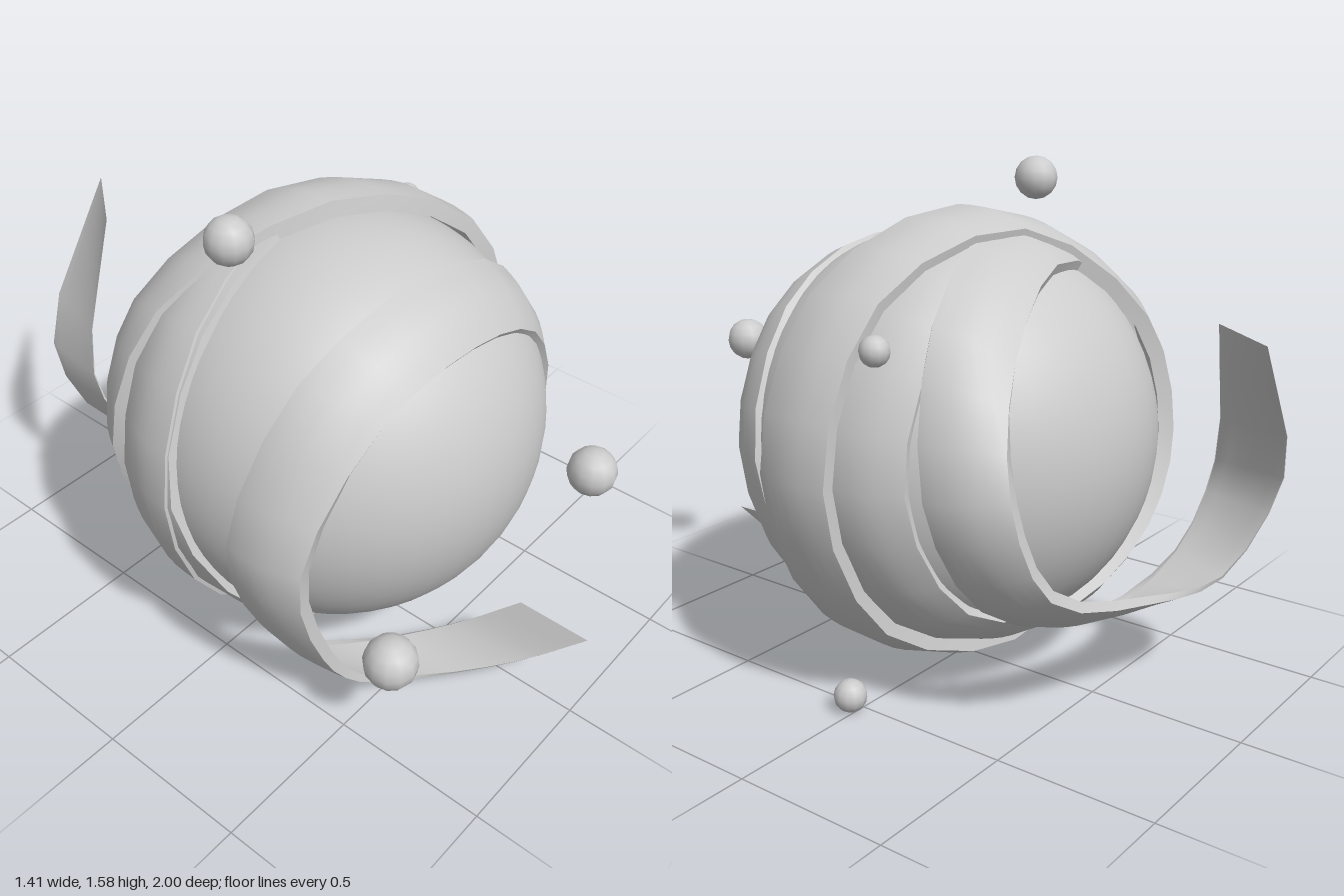
import * as THREE from 'three';

const V = (x, y, z) => new THREE.Vector3(x, y, z);
const CENTRE = V(-0.02, 0.75, 0.06);
const HALF_ANGLE = 0.18; // half the ribbon width as seen from the ball centre

// Clockwise winding over the ball, one entry per 45 degrees from the upper left:
// [z of the ribbon's middle, distance from the ball centre]
const WINDING = [
  [0.42, 0.69],
  [0.47, 0.672], [0.46, 0.672], [0.42, 0.672], [0.33, 0.675],
  [0.22, 0.68], [0.06, 0.68], [-0.1, 0.68], [-0.14, 0.675],
  [-0.15, 0.675], [-0.13, 0.675], [-0.13, 0.675], [-0.2, 0.675],
  [-0.33, 0.68], [-0.42, 0.695], [-0.42, 0.705], [-0.33, 0.71],
  [-0.09, 0.713], [0.06, 0.713], [0.09, 0.713], [0.05, 0.713],
  [-0.07, 0.713], [-0.12, 0.705], [-0.12, 0.69], [-0.16, 0.685],
  [-0.22, 0.685], [-0.33, 0.695],
];

// Loose ends, as pairs of [front edge, back edge]
const FRONT_TAIL = [
  [V(0.04, 0.29, 1.0), V(0.04, 0.29, 0.76)],
  [V(-0.05, 0.14, 0.82), V(-0.05, 0.14, 0.58)],
  [V(-0.22, 0.05, 0.6), V(-0.22, 0.05, 0.37)],
  [V(-0.42, 0.13, 0.5), V(-0.42, 0.13, 0.27)],
  [V(-0.56, 0.33, 0.47), V(-0.57, 0.32, 0.23)],
  [V(-0.645, 0.72, 0.46), V(-0.685, 0.72, 0.22)],
];
const BACK_TAIL = [
  [V(0.59, 0.75, -0.31), V(0.52, 0.78, -0.55)],
  [V(0.43, 0.4, -0.39), V(0.41, 0.48, -0.61)],
  [V(0.0, 0.25, -0.5), V(0.02, 0.36, -0.7)],
  [V(-0.26, 0.42, -0.63), V(-0.24, 0.38, -0.8)],
  [V(-0.37, 0.7, -0.69), V(-0.34, 0.7, -0.93)],
  [V(-0.18, 1.17, -0.77), V(0, 1.17, -1.0)],
];

// Cross-section: [fraction from back to front edge, height]; corners doubled to stay sharp
const SECTION = [
  [0, -0.05], [0, 0], [0, 0], [0.17, 0.01], [0.33, 0.017], [0.5, 0.02],
  [0.67, 0.017], [0.83, 0.01], [1, 0], [1, 0], [1, -0.05],
];
const CORNERS = [1, 8];

// A point at clock angle t and latitude lat on a shell round the ball
function onShell(t, lat, d) {
  const r = d * Math.cos(lat);
  return V(r * Math.sin(t), r * Math.cos(t), d * Math.sin(lat)).add(CENTRE);
}

// Bulging band swept between two edge curves, thinning to a flat sheet at the tails
function ribbonGeometry() {
  const wound = WINDING.map(([z, d], i) => {
    const t = (315 + 45 * i) * Math.PI / 180;
    const lat = Math.asin((z - CENTRE.z) / d);
    return [onShell(t, lat + HALF_ANGLE, d), onShell(t, lat - HALF_ANGLE, d)];
  });
  const stations = [...FRONT_TAIL, ...wound, ...BACK_TAIL];
  const front = new THREE.CatmullRomCurve3(stations.map((s) => s[0]));
  const back = new THREE.CatmullRomCurve3(stations.map((s) => s[1]));
  const along = (stations.length - 1) * 3, n = SECTION.length;
  const positions = [], indices = [];
  for (let i = 0; i <= along; i++) {
    const u = i / along;
    const f = front.getPoint(u), b = back.getPoint(u);
    const tangent = front.getTangent(u).add(back.getTangent(u));
    const normal = f.clone().sub(b).cross(tangent).normalize();
    const body = THREE.MathUtils.smoothstep(Math.min(i, along - i), 0, 18);
    SECTION.forEach(([v, h], j) => {
      const p = b.clone().lerp(f, v).addScaledVector(normal, h * body);
      positions.push(p.x, p.y, p.z);
      if (i < along && j < n - 1 && !CORNERS.includes(j)) {
        const a = i * n + j, c = a + n;
        indices.push(a, a + 1, c, a + 1, c + 1, c);
      }
    });
  }
  const geometry = new THREE.BufferGeometry();
  geometry.setAttribute('position', new THREE.Float32BufferAttribute(positions, 3));
  geometry.setIndex(indices);
  geometry.computeVertexNormals();
  return geometry;
}

export function createModel() {
  const model = new THREE.Group();
  const grey = new THREE.MeshStandardMaterial({ color: 0xcccccc });
  const sheet = new THREE.MeshStandardMaterial({ color: 0xcccccc, side: THREE.DoubleSide });

  const add = (name, geometry, material, position) => {
    const mesh = new THREE.Mesh(geometry, material);
    mesh.name = name;
    if (position) mesh.position.copy(position);
    model.add(mesh);
  };

  // Large ball and the ribbon wound round it
  add('ball', new THREE.SphereGeometry(0.65, 48, 32), grey, CENTRE);
  add('ribbon', ribbonGeometry(), sheet);

  // Small floating beads: x, y, z, radius
  [
    [-0.42, 1.51, 0.025, 0.07],
    [0.03, 0.93, 0.93, 0.07],
    [-0.475, 0.385, 0.65, 0.083],
    [0.54, 0.055, 0.015, 0.051],
    [0.6, 1.15, -0.16, 0.044],
  ].forEach(([x, y, z, r], i) => {
    add(`bead${i + 1}`, new THREE.SphereGeometry(r, 12, 8), grey, V(x, y, z));
  });

  return model;
}
